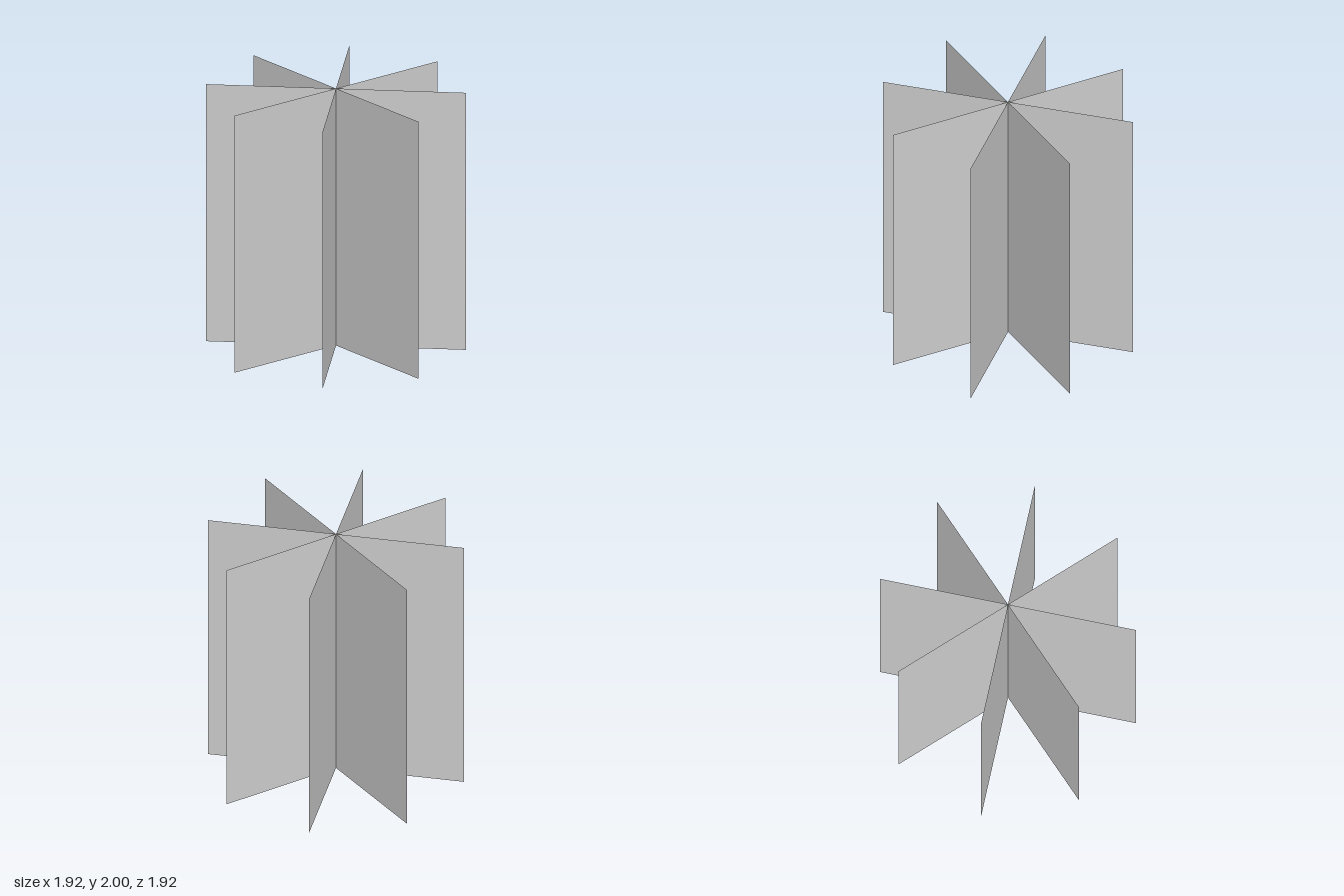
import * as THREE from 'three';

const WIDTH = 1.92, HEIGHT = 2, COUNT = 4;

export function createModel() {
  const model = new THREE.Group();
  model.name = 'crossedPanels';
  const material = new THREE.MeshStandardMaterial({ color: 0xcccccc, side: THREE.DoubleSide });
  const geometry = new THREE.PlaneGeometry(WIDTH, HEIGHT);

  // Thin upright panels crossing on the central axis, evenly fanned
  for (let i = 0; i < COUNT; i++) {
    const panel = new THREE.Mesh(geometry, material);
    panel.name = `panel${i + 1}`;
    panel.position.y = HEIGHT / 2;
    panel.rotation.y = (i * Math.PI) / COUNT;
    model.add(panel);
  }
  return model;
}
